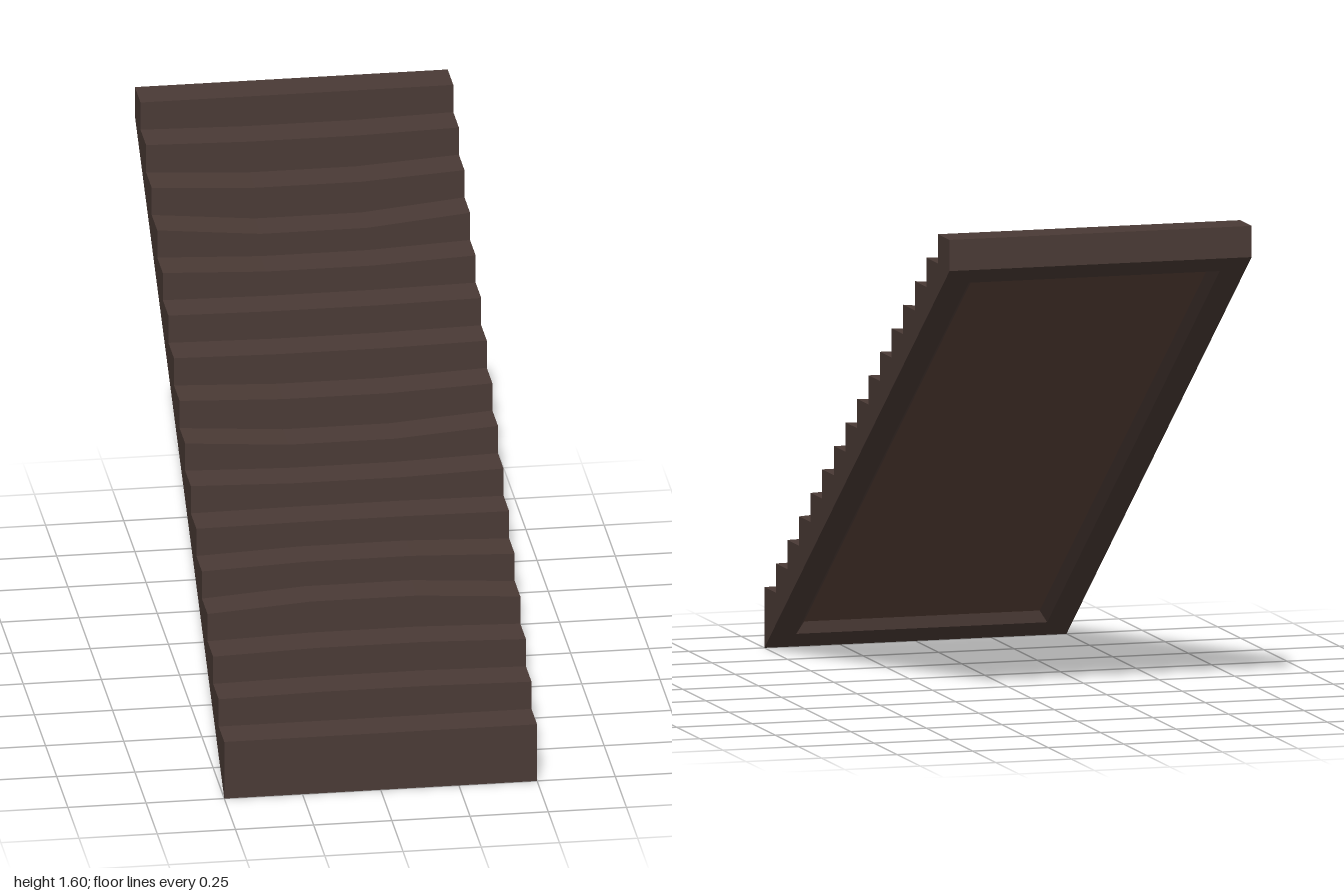
import * as THREE from 'three';

const HALF = 0.5, STEPS = 16, DEPTH = 2 / STEPS;
const XS = [-HALF, -0.17, 0.17, HALF];
// how far each tread sags (negative) or bulges (positive) in the middle
const WEAR = [0, 0.006, 0.01, 0.023, 0.013, 0.003, -0.01, -0.024, -0.014,
  -0.006, -0.005, -0.015, -0.032, -0.02, -0.008, 0];

const treadY = (i, x) => 0.195 + i * (1.405 / (STEPS - 1)) + (Math.abs(x) < HALF ? WEAR[i] : 0);
const slopeY = z => 0.75 * (1 - z);

// flat-shaded mesh from quads with counter-clockwise corners
function quadMesh(name, quads, color) {
  const pos = [];
  for (const [a, b, c, d] of quads) pos.push(...a, ...b, ...c, ...a, ...c, ...d);
  const geo = new THREE.BufferGeometry();
  geo.setAttribute('position', new THREE.Float32BufferAttribute(pos, 3));
  geo.computeVertexNormals();
  const mesh = new THREE.Mesh(geo, new THREE.MeshStandardMaterial({ color, flatShading: true }));
  mesh.name = name;
  return mesh;
}

// rectangle in the sloping underside, pushed in by the given depth
function slopeRect(inset, depth) {
  const w = HALF - inset, t0 = inset / 2.5, t1 = 1 - t0;
  return [[-w, t0], [w, t0], [w, t1], [-w, t1]].map(([x, t]) =>
    [x, 1.5 * t + 0.8 * depth, 1 - 2 * t + 0.6 * depth]);
}

const ring = (outer, inner) => outer.map((p, i) => {
  const j = (i + 1) % 4;
  return [p, inner[i], inner[j], outer[j]];
});

export function createModel() {
  const group = new THREE.Group();
  group.name = 'staircase';
  const treads = [], risers = [], sides = [], back = [];

  for (let i = 0; i < STEPS; i++) {
    const zf = 1 - i * DEPTH, zb = zf - DEPTH;
    // worn treads and the risers below them
    for (let k = 0; k < XS.length - 1; k++) {
      const a = XS[k], b = XS[k + 1];
      const ya = treadY(i, a), yb = treadY(i, b);
      treads.push([[a, ya, zf], [b, yb, zf], [b, yb, zb], [a, ya, zb]]);
      const la = i ? treadY(i - 1, a) : 0, lb = i ? treadY(i - 1, b) : 0;
      risers.push([[a, la, zf], [b, lb, zf], [b, yb, zf], [a, ya, zf]]);
    }
    // side walls between tread and slope
    const y = treadY(i, HALF);
    const wall = x => [[x, slopeY(zf), zf], [x, slopeY(zb), zb], [x, y, zb], [x, y, zf]];
    sides.push(wall(HALF), wall(-HALF).reverse());
  }
  back.push([[HALF, 1.5, -1], [-HALF, 1.5, -1], [-HALF, 1.6, -1], [HALF, 1.6, -1]]);

  // underside border, bevelled recess and its panel
  const outer = slopeRect(0, 0), lip = slopeRect(0.085, 0), floor = slopeRect(0.11, 0.03);
  const stone = 0x4a3a35;
  group.add(
    quadMesh('treads', treads, stone),
    quadMesh('risers', risers, stone),
    quadMesh('sideWalls', sides, stone),
    quadMesh('backWall', back, stone),
    quadMesh('undersideFrame', ring(outer, lip), stone),
    quadMesh('recessBevel', ring(lip, floor), stone),
    quadMesh('undersidePanel', [[...floor].reverse()], 0x5a4138),
  );
  return group;
}
